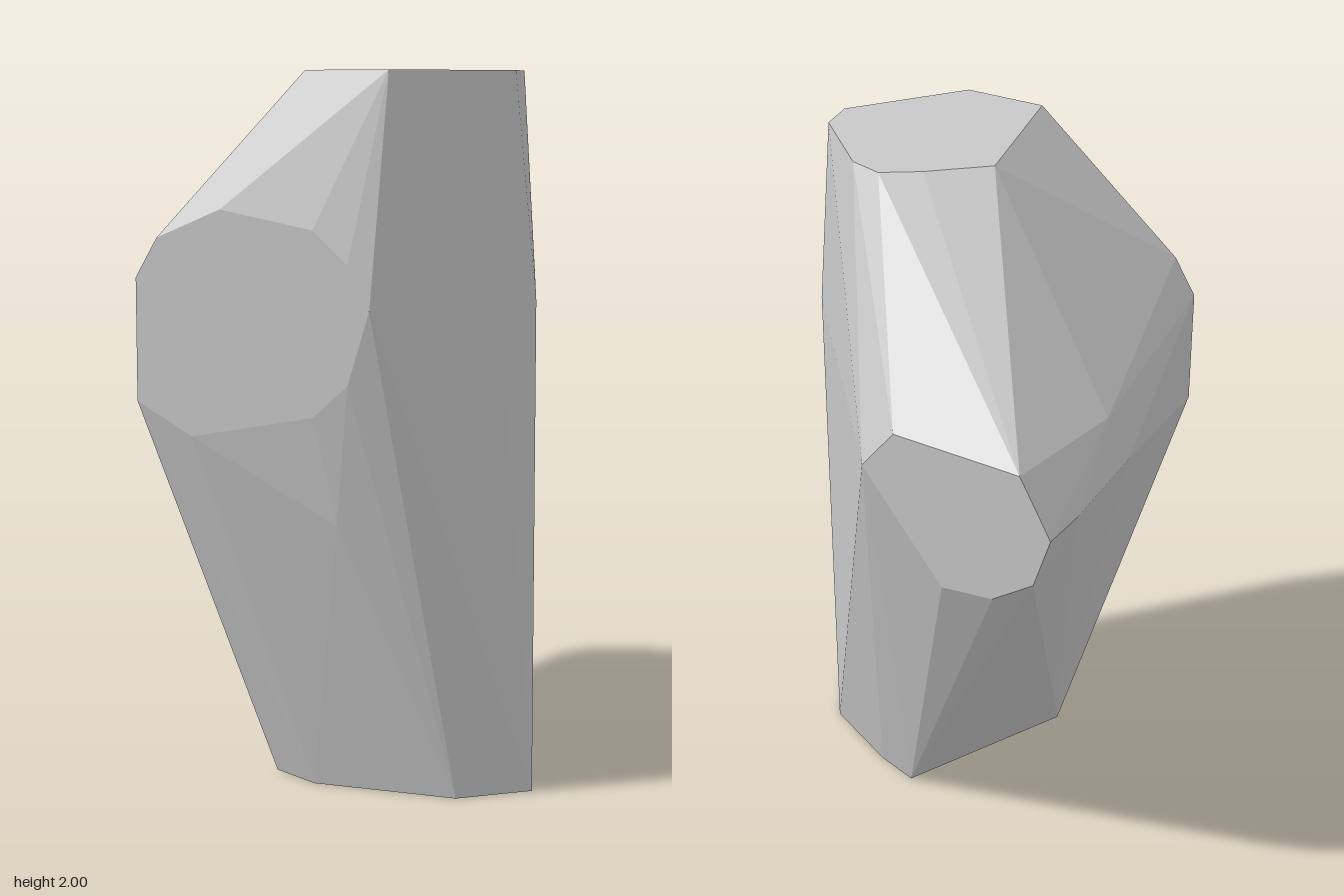
import * as THREE from 'three';
import { ConvexGeometry } from 'three/addons/geometries/ConvexGeometry.js';

// Flat cut faces of the rock, each given in its own plane
const topCut = [[-0.085, 0.02], [0.07, -0.105], [0.175, -0.165], [0.275, -0.125],
  [0.485, 0.11], [0.5, 0.23], [0.25, 0.535], [0, 0.51]]; // x, z at y = 2
const bottomCut = [[-0.17, 0.34], [-0.02, 0.42], [0.4, 0.405], [0.575, 0.26],
  [0.47, 0.04], [0.23, -0.11], [0.1, -0.165]]; // x, z at y = 0
const frontCut = [[-0.455, 1.44], [-0.39, 1.55], [-0.2, 1.63], [0.07, 1.58], [0.17, 1.49],
  [0.232, 1.37], [0.17, 1.17], [0.07, 1.08], [-0.29, 1.01], [-0.455, 1.1]]; // x, y at z = 0.63
const backCut = [[-0.015, 1.375], [-0.11, 1.49], [-0.475, 1.455], [-0.565, 1.285],
  [-0.518, 1.14], [-0.4, 1.065], [-0.25, 1.06]]; // x, y at z = -0.63

// Loose corners on the two flanks and the lower front
const looseCorners = [
  [-0.53, 1.43, -0.19], [-0.575, 1.285, -0.48], [-0.567, 1.28, -0.12],
  [0.545, 1.37, 0.17], [0.512, 1.46, 0.085], [0.512, 1.1, 0.33],
  [0.12, 0.78, 0.585],
];

export function createModel() {
  const stone = new THREE.MeshStandardMaterial({ color: 0xc8c8c8 });
  stone.name = 'stoneGrey';

  const level = (cut, y) => cut.map(([x, z]) => new THREE.Vector3(x, y, z));
  const upright = (cut, z) => cut.map(([x, y]) => new THREE.Vector3(x, y, z));

  // Faceted boulder wrapped around all the cut faces
  const points = [
    ...level(topCut, 2), ...level(bottomCut, 0),
    ...upright(frontCut, 0.63), ...upright(backCut, -0.63),
    ...looseCorners.map((p) => new THREE.Vector3(...p)),
  ];
  const rock = new THREE.Mesh(new ConvexGeometry(points), stone);
  rock.name = 'rock';

  const group = new THREE.Group();
  group.name = 'facetedRock';
  group.add(rock);
  return group;
}
